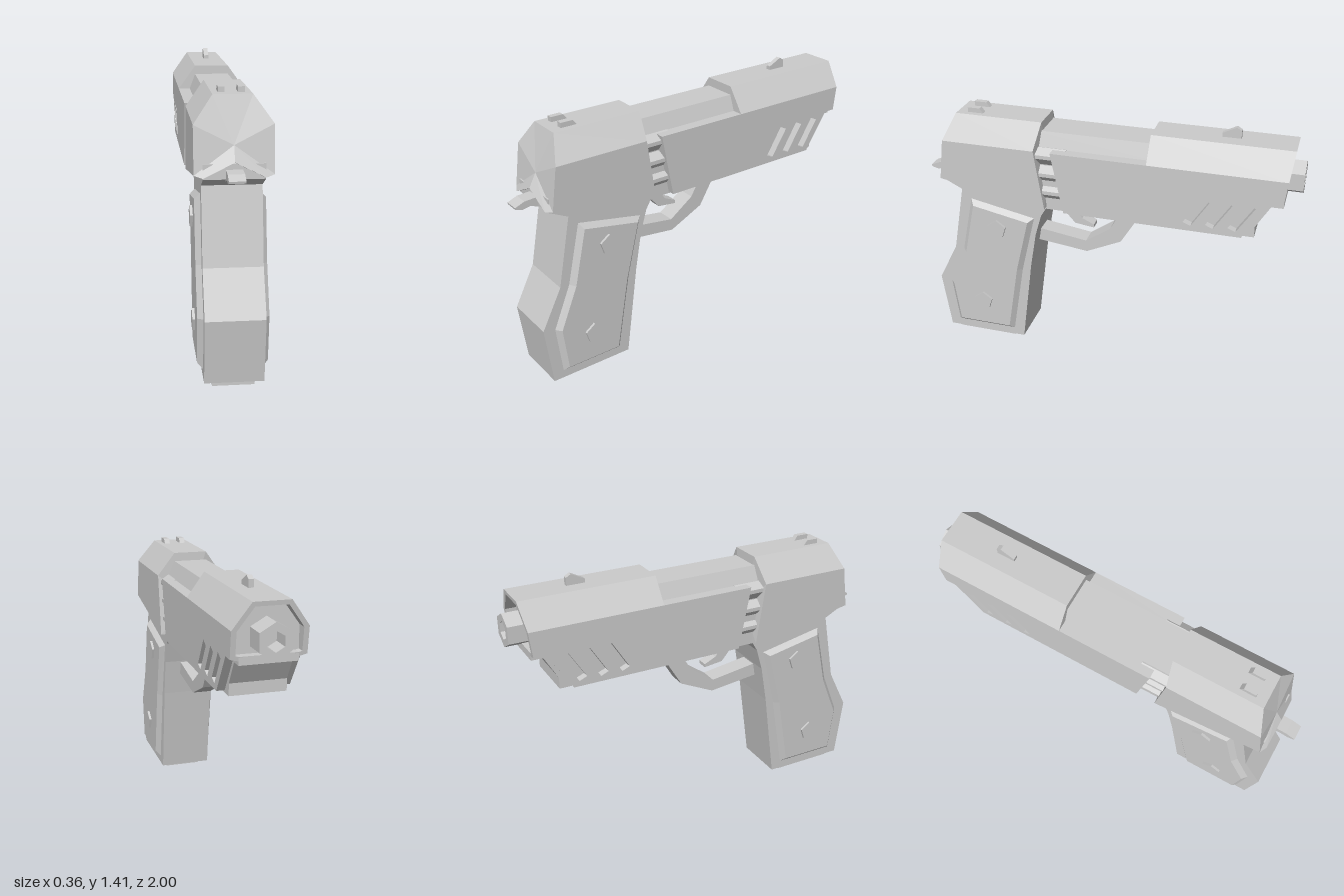
import * as THREE from 'three';

export function createModel() {
  const model = new THREE.Group();
  const material = new THREE.MeshStandardMaterial({ color: 0xcccccc, flatShading: true });

  const add = (name, geometry) => {
    const mesh = new THREE.Mesh(geometry, material);
    mesh.name = name;
    model.add(mesh);
    return mesh;
  };
  const toShape = (points) => new THREE.Shape(points.map(([a, b]) => new THREE.Vector2(a, b)));

  // Side profile of [z, y] points, extruded across x from x0 to x1
  const plate = (name, profile, x0, x1, { holes = [], bevel = null } = {}) => {
    const shape = toShape(profile);
    shape.holes = holes.map(toShape);
    const geometry = new THREE.ExtrudeGeometry(shape, {
      depth: x1 - x0, bevelEnabled: !!bevel, bevelSegments: 1, ...bevel,
    });
    geometry.rotateY(-Math.PI / 2).translate(x1, 0, 0);
    return add(name, geometry);
  };

  // Skin through rings of [x, y, z] points running from +z to -z, capped at both ends
  const loft = (name, rings) => {
    const pos = [];
    const n = rings[0].length;
    const tri = (...corners) => corners.forEach((p) => pos.push(...p));
    const middle = (ring) => [0, 1, 2].map((k) => ring.reduce((s, p) => s + p[k], 0) / n);
    const last = rings[rings.length - 1];
    for (let j = 0; j < n; j++) {
      const k = (j + 1) % n;
      for (let i = 0; i < rings.length - 1; i++) {
        const a = rings[i], b = rings[i + 1];
        tri(a[j], b[j], a[k]);
        tri(a[k], b[j], b[k]);
      }
      tri(middle(rings[0]), rings[0][j], rings[0][k]);
      tri(middle(last), last[k], last[j]);
    }
    const geometry = new THREE.BufferGeometry();
    geometry.setAttribute('position', new THREE.Float32BufferAttribute(pos, 3));
    geometry.computeVertexNormals();
    return add(name, geometry);
  };
  // Full ring from its right half (bottom to top), with an optional bottom centre point
  const ring = (half, centre = []) => [
    ...centre, ...half, ...half.map(([x, y, z]) => [-x, y, z]).reverse(),
  ];

  // Frame and grip core
  plate('frame', [
    [0.88, 1.06], [0.88, 0.99], [0.78, 0.94], [0.85, 0.57], [0.96, 0.355], [0.92, 0.035],
    [0.47, 0.035], [0.405, 0.52], [0.37, 0.72], [0.335, 0.84], [0.305, 0.89], [-0.79, 0.89],
    [-0.79, 0.95], [-0.86, 1.07], [-0.92, 1.07], [-0.92, 1.11], [0.3, 1.11],
  ], -0.14, 0.14);
  plate('magazineBase', [[0.88, 0], [0.54, 0], [0.54, 0.05], [0.88, 0.05]], -0.1, 0.1);

  // Bevelled grip panels standing out on both sides
  plate('gripPanels', [
    [0.73, 0.89], [0.80, 0.57], [0.895, 0.34], [0.865, 0.08],
    [0.525, 0.08], [0.455, 0.49], [0.375, 0.82],
  ], -0.14, 0.14, { bevel: { bevelThickness: 0.027, bevelSize: 0.025, bevelOffset: -0.025 } });

  // Five-sided grip screws
  for (const [z, y] of [[0.58, 0.74], [0.69, 0.26]]) {
    const corners = [0, 1, 2, 3, 4].map((i) => {
      const t = Math.PI / 2 + (i * Math.PI * 2) / 5;
      return [z + 0.054 * Math.cos(t), y + 0.054 * Math.sin(t)];
    });
    plate('gripScrew', corners, -0.18, 0.18);
  }

  // Rear slide block with a slanted back and rising lower edge
  loft('rearSlide', [
    ring([[0.14, 1.0, 0.9], [0.18, 1.01, 0.88], [0.18, 1.23, 0.85], [0.09, 1.355, 0.8]], [[0, 1.07, 0.9]]),
    ring([[0.14, 0.905, 0.3], [0.18, 0.905, 0.3], [0.18, 1.23, 0.35], [0.09, 1.355, 0.33]], [[0, 0.95, 0.3]]),
  ]);

  // Narrow middle of the slide
  loft('middleSlide', [0.4, -0.3].map((z) => ring([[0.12, 0.95, z], [0.12, 1.23, z], [0.09, 1.31, z]])));

  // Front slide with a recessed muzzle end
  const frontRing = (scale, zAt) => ring(
    [[0.1, 1.08], [0.18, 1.1], [0.18, 1.23], [0.09, 1.355]].map(([x, y]) => {
      const yy = 1.2 + (y - 1.2) * scale;
      return [x * scale, yy, zAt(yy)];
    }));
  const slant = (y) => -0.95 + (1.355 - y) * 0.12;
  loft('frontSlide', [
    frontRing(1, () => -0.24), frontRing(1, slant), frontRing(0.86, slant), frontRing(0.86, () => -0.88),
  ]);

  // Hexagonal barrel with an open bore
  const hexagon = (r) => [0, 1, 2, 3, 4, 5].map((i) => {
    const t = Math.PI / 2 + (i * Math.PI) / 3;
    return [r * Math.cos(t), 1.187 + r * Math.sin(t)];
  });
  const barrelRing = (r, z) => hexagon(r).map(([x, y]) => [x, y, z]);
  loft('barrel', [barrelRing(0.087, -0.8), barrelRing(0.087, -1), barrelRing(0.048, -1), barrelRing(0.048, -0.9)]);

  // Side covers with three slanted vents, and stepped ribs behind them
  const vents = [0, 1, 2].map((i) => [
    [-0.435, 0.945], [-0.525, 1.09], [-0.565, 1.07], [-0.475, 0.928],
  ].map(([z, y]) => [z - i * 0.113, y]));
  const cover = [
    [0.26, 1.23], [-0.24, 1.23], [-0.24, 1.1], [-0.86, 1.1], [-0.73, 0.9], [0.195, 0.9],
  ];
  const ribs = [[0.1, 0.93]];
  for (let i = 0; i < 3; i++) {
    const y = 0.94 + i * 0.1;
    ribs.push([0.125, y], [0.165, y + 0.045], [0.165, y + 0.065], [0.125, y + 0.095]);
  }
  ribs.push([0.1, 1.23]);
  for (const side of [1, -1]) {
    const name = side > 0 ? 'left' : 'right';
    plate(name + 'Cover', cover, side > 0 ? 0.115 : -0.18, side > 0 ? 0.18 : -0.115, { holes: vents });
    const geometry = new THREE.ExtrudeGeometry(
      toShape(ribs.map(([x, y]) => [x * side, y])), { depth: 0.16, bevelEnabled: false });
    add(name + 'Ribs', geometry.translate(0, 0, 0.19));
  }

  // Trigger, guard and the plate under the frame
  plate('triggerGuard', [
    [0.39, 0.715], [0.115, 0.675], [-0.02, 0.77], [-0.095, 0.9],
    [-0.2, 0.9], [-0.08, 0.7], [0.11, 0.61], [0.41, 0.645],
  ], -0.05, 0.05);
  plate('trigger', [
    [0.245, 0.9], [0.22, 0.81], [0.18, 0.765], [0.075, 0.752],
    [0.075, 0.77], [0.14, 0.8], [0.17, 0.84], [0.165, 0.9],
  ], -0.03, 0.03);
  plate('underPlate', [[-0.43, 0.9], [-0.43, 0.865], [-0.63, 0.865], [-0.63, 0.9]], -0.07, 0.07);

  // Hammer and sights
  plate('hammer', [
    [1.0, 1.01], [0.95, 1.03], [0.86, 1.035], [0.86, 0.975], [0.92, 0.998], [0.965, 0.99], [0.998, 1.0],
  ], -0.038, 0.038);
  for (const x of [0.045, -0.045]) {
    plate('rearSight', [[0.745, 1.34], [0.745, 1.38], [0.68, 1.38], [0.65, 1.34]], x - 0.015, x + 0.015);
  }
  plate('frontSight', [
    [-0.58, 1.34], [-0.58, 1.375], [-0.65, 1.41], [-0.675, 1.395], [-0.675, 1.34],
  ], -0.013, 0.013);

  return model;
}
